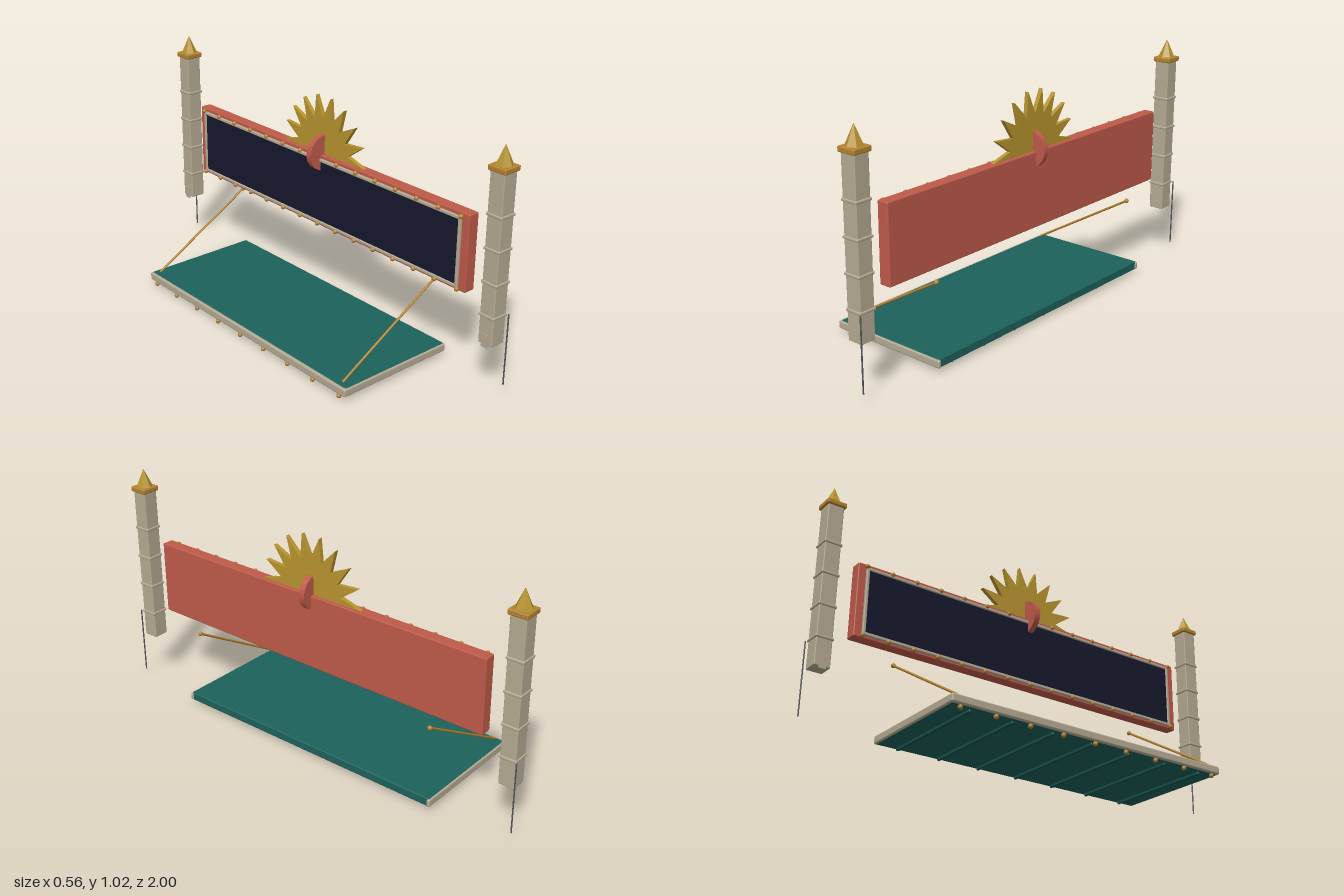
import * as THREE from 'three';
import { RoundedBoxGeometry } from 'three/addons/geometries/RoundedBoxGeometry.js';

const mat = (color, flatShading = false) => new THREE.MeshStandardMaterial({ color, flatShading });
const teal = mat(0x1c615c), darkTeal = mat(0x15504c), red = mat(0xbf5a49), navy = mat(0x16172c);
const ivory = mat(0xb5aa93), gold = mat(0xb8942f, true), bronze = mat(0xb3832f), steel = mat(0x55565e);

export function createModel() {
  const model = new THREE.Group();

  const add = (name, geometry, material, x, y, z, parent = model) => {
    const mesh = new THREE.Mesh(geometry, material);
    mesh.name = name;
    mesh.position.set(x, y, z);
    parent.add(mesh);
    return mesh;
  };
  const box = (w, h, d) => new THREE.BoxGeometry(w, h, d);
  const rounded = (w, h, d, r) => new RoundedBoxGeometry(w, h, d, 2, r);
  const bulb = new THREE.SphereGeometry(0.01, 12, 8);
  const bulbRow = (name, count, half, x, y) => {
    const row = new THREE.Group();
    row.name = name;
    for (let i = 0; i < count; i++) add('bulb', bulb, bronze, x, y, -half + (2 * half * i) / (count - 1), row);
    model.add(row);
  };

  // Canopy slab with pale trim on three edges, ribs and bulbs below
  add('canopySlab', rounded(0.54, 0.038, 1.3, 0.006), teal, 0.002, 0.039, 0);
  add('canopyFrontTrim', rounded(0.018, 0.034, 1.31, 0.007), ivory, -0.27, 0.038, 0);
  for (const s of [-1, 1]) add('canopyEndTrim', rounded(0.555, 0.034, 0.016, 0.007), ivory, -0.001, 0.038, s * 0.648);
  for (let i = -3; i <= 3; i++) add('canopyRib', rounded(0.51, 0.014, 0.012, 0.004), darkTeal, 0.002, 0.015, i * 0.187);
  bulbRow('canopyBulbs', 9, 0.615, -0.27, 0.01);

  // Tie rods with a ball at the upper end
  for (const s of [-1, 1]) {
    const path = new THREE.LineCurve3(new THREE.Vector3(-0.252, 0.063, s * 0.615), new THREE.Vector3(0.232, 0.348, s * 0.615));
    add('tieRod', new THREE.TubeGeometry(path, 1, 0.005, 8), bronze, 0, 0, 0);
    add('tieRodBall', bulb, bronze, 0.232, 0.348, s * 0.615);
  }

  // Sign board, dark panel, frame and bulbs
  add('signBoard', rounded(0.052, 0.322, 1.67, 0.005), red, 0.189, 0.552, 0);
  add('signPanel', box(0.006, 0.28, 1.58), navy, 0.161, 0.55, 0);
  for (const s of [-1, 1]) {
    add('signFrameRail', rounded(0.014, 0.014, 1.602, 0.004), ivory, 0.16, 0.55 + s * 0.141, 0);
    add('signFrameStile', rounded(0.014, 0.296, 0.014, 0.004), ivory, 0.16, 0.55, s * 0.794);
    bulbRow('signBulbs', 15, 0.8, 0.155, 0.55 + s * 0.15);
  }

  // Half sunburst: ten points, nine valleys
  const burst = new THREE.Shape();
  for (let i = 0; i <= 18; i++) {
    const a = (i * Math.PI) / 18, r = i % 2 ? 0.155 : 0.25;
    burst[i ? 'lineTo' : 'moveTo'](r * Math.cos(a), r * Math.sin(a));
  }
  burst.closePath();
  const burstGeo = new THREE.ExtrudeGeometry(burst, { depth: 0.018, bevelEnabled: false });
  burstGeo.translate(0, 0, -0.009).rotateY(Math.PI / 2);
  add('sunburst', burstGeo, gold, 0.19, 0.713, 0);

  // Crosswise medallion
  const disc = new THREE.CylinderGeometry(0.077, 0.077, 0.026, 24).rotateX(Math.PI / 2);
  add('medallion', disc, red, 0.18, 0.72, 0);

  // Pylons
  for (const s of [-1, 1]) {
    const pylon = new THREE.Group();
    pylon.name = 'pylon';
    pylon.position.set(0.19, 0, s * 0.955);
    model.add(pylon);
    add('shaft', rounded(0.068, 0.7, 0.068, 0.004), ivory, 0, 0.575, 0, pylon);
    for (let i = 0; i < 4; i++) add('band', rounded(0.077, 0.012, 0.077, 0.004), ivory, 0, 0.345 + i * 0.136, 0, pylon);
    add('cap', rounded(0.084, 0.022, 0.084, 0.005), bronze, 0, 0.932, 0, pylon);
    add('finial', new THREE.ConeGeometry(0.036, 0.08, 6), gold, 0, 0.981, 0, pylon);
    add('footPlate', box(0.003, 0.055, 0.03), ivory, -0.037, 0.243, 0, pylon);
    // Slim rod beside the pylon
    add('sideRod', new THREE.CylinderGeometry(0.003, 0.003, 0.305, 8), steel, 0.042, 0.193, s * 0.042, pylon);
  }

  return model;
}
